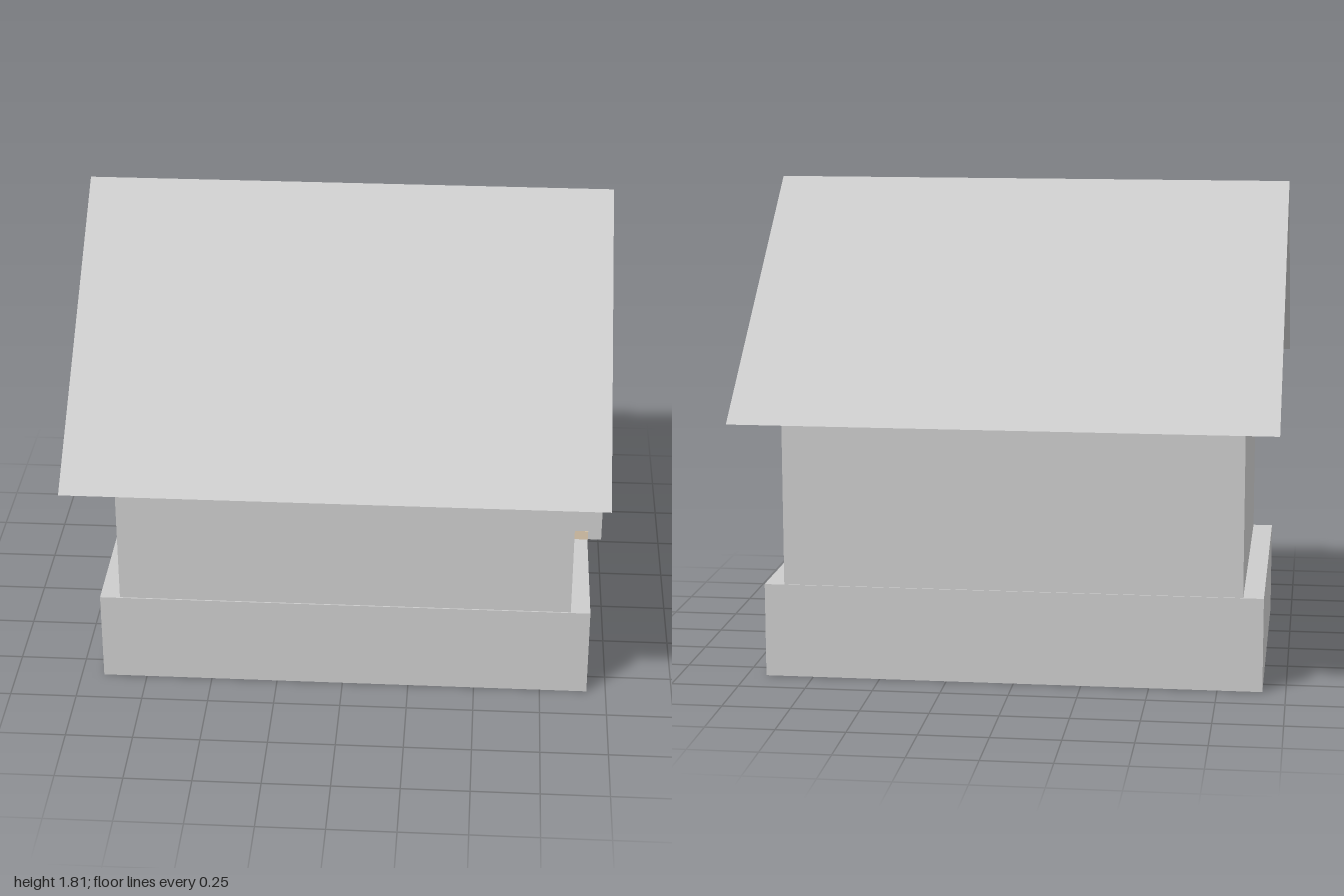
import * as THREE from 'three';

const grey = new THREE.MeshStandardMaterial({ color: 0xcccccc, flatShading: true });
const tan = new THREE.MeshStandardMaterial({ color: 0xe0ccb0, flatShading: true });

// Box given by its low and high limits on each axis
function box(name, [x0, x1], [y0, y1], [z0, z1], material = grey) {
  const mesh = new THREE.Mesh(new THREE.BoxGeometry(x1 - x0, y1 - y0, z1 - z0), material);
  mesh.position.set((x0 + x1) / 2, (y0 + y1) / 2, (z0 + z1) / 2);
  mesh.name = name;
  return mesh;
}

// Outline of [z, y] points swept along x from x0 to x1
function prism(name, points, x0, x1) {
  const shape = new THREE.Shape(points.map(([z, y]) => new THREE.Vector2(-z, y)));
  const geometry = new THREE.ExtrudeGeometry(shape, { depth: x1 - x0, bevelEnabled: false });
  geometry.rotateY(Math.PI / 2).translate(x0, 0, 0);
  const mesh = new THREE.Mesh(geometry, grey);
  mesh.name = name;
  return mesh;
}

export function createModel() {
  const house = new THREE.Group();
  house.name = 'house';

  // Plinth and gabled walls
  house.add(box('base', [-0.915, 0.928], [0, 0.35], [-0.6, 0.6]));
  house.add(prism('walls', [
    [-0.595, 0.34], [0.595, 0.34], [0.595, 1.325], [0, 1.79], [-0.595, 1.325],
  ], -0.84, 0.855));

  // Thin folded roof with wide eaves
  house.add(prism('roof', [
    [-1, 1.025], [-0.98, 1.022], [0, 1.79], [0.98, 1.022], [1, 1.025], [0, 1.81],
  ], -0.97, 0.962));

  // Door and pointed window on the left gable
  house.add(box('door', [0.84, 0.915], [0.35, 1.025], [-0.26, 0.06]));
  house.add(prism('window', [
    [0.19, 0.535], [0.37, 0.535], [0.37, 0.92], [0.28, 0.99], [0.19, 0.92],
  ], 0.84, 0.965));
  house.add(box('windowSill', [0.85, 0.915], [0.534, 0.57], [0.189, 0.371], tan));

  return house;
}
